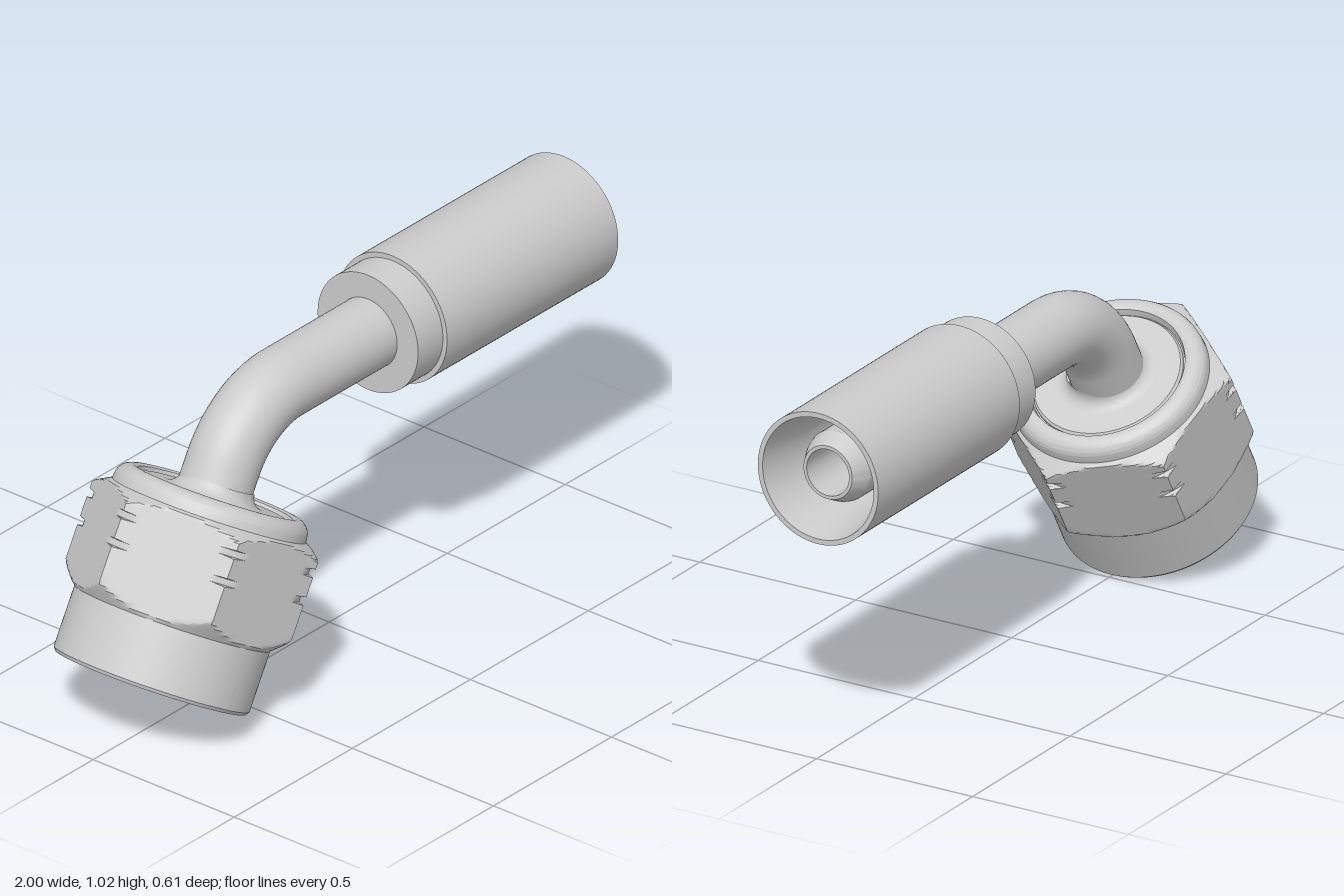
import * as THREE from 'three';
import { toCreasedNormals } from 'three/addons/utils/BufferGeometryUtils.js';

const TILT = -Math.PI / 6;   // nut axis leans 30 degrees from vertical
const AXIS_Y = 0.833;        // height of the straight tube
const TUBE_R = 0.104, BORE_R = 0.068;

function part(name, geometry, side = THREE.FrontSide) {
  const mesh = new THREE.Mesh(geometry, new THREE.MeshStandardMaterial({ color: 0xcccccc, side }));
  mesh.name = name;
  return mesh;
}

function lathe(name, profile, segments = 72) {
  const points = profile.map(([r, h]) => new THREE.Vector2(r, h));
  return part(name, toCreasedNormals(new THREE.LatheGeometry(points, segments), 0.5));
}

// Revolved profile [limit radius, height] whose radius is also clipped by a hexagon
function hexTurned(profile, cornerRadius, turn, around = 144, steps = 5) {
  const levels = [profile[0]];
  for (let i = 1; i < profile.length; i++) {
    for (let k = 1; k <= steps; k++) {
      const f = k / steps;
      levels.push(profile[i].map((v, n) => THREE.MathUtils.lerp(profile[i - 1][n], v, f)));
    }
  }
  const apothem = cornerRadius * Math.cos(Math.PI / 6);
  const positions = [], index = [];
  levels.forEach(([limit, h], row) => {
    for (let j = 0; j < around; j++) {
      const a = (j / around) * Math.PI * 2;
      const hex = apothem / Math.cos((a % (Math.PI / 3)) - Math.PI / 6);
      const r = Math.min(limit, hex);
      positions.push(r * Math.cos(a + turn), h, r * Math.sin(a + turn));
      if (row === 0) continue;
      const next = (j + 1) % around;
      const p = (row - 1) * around + j, q = (row - 1) * around + next;
      const u = row * around + j, v = row * around + next;
      index.push(p, u, q, q, u, v);
    }
  });
  const geometry = new THREE.BufferGeometry();
  geometry.setAttribute('position', new THREE.Float32BufferAttribute(positions, 3));
  geometry.setIndex(index);
  return toCreasedNormals(geometry, 0.5);
}

// Tube centre line: straight leg out of the nut, 60 degree bend, straight leg into the ferrule
function tubePath(nutOrigin, startHeight, endX) {
  const up = new THREE.Vector3(0.5, Math.cos(TILT), 0);
  const right = new THREE.Vector3(1, 0, 0);
  const bendR = 0.29, tangent = bendR * Math.tan(Math.PI / 6);
  const handle = bendR * (4 / 3) * Math.tan(Math.PI / 12);
  const corner = nutOrigin.clone().addScaledVector(up, (AXIS_Y - nutOrigin.y) / up.y);
  const a = corner.clone().addScaledVector(up, -tangent);
  const b = corner.clone().addScaledVector(right, tangent);
  const path = new THREE.CurvePath();
  path.add(new THREE.LineCurve3(nutOrigin.clone().addScaledVector(up, startHeight), a));
  path.add(new THREE.CubicBezierCurve3(a, a.clone().addScaledVector(up, handle),
    b.clone().addScaledVector(right, -handle), b));
  path.add(new THREE.LineCurve3(b, new THREE.Vector3(endX, AXIS_Y, 0)));
  return path;
}

export function createModel() {
  const model = new THREE.Group();
  model.name = 'angledHoseFitting';
  const nutOrigin = new THREE.Vector3(-0.757, 0.143, 0);

  // Swivel nut: open bore, round skirt, chamfered and notched hexagon, rolled shoulder
  const nutAssembly = new THREE.Group();
  nutAssembly.name = 'nutAssembly';
  nutAssembly.position.copy(nutOrigin);
  nutAssembly.rotation.z = TILT;
  const profile = [[0.2, 0.36], [0.24, 0.34], [0.24, 0.02], [0.255, 0], [0.274, 0], [0.281, 0.01],
    [0.281, 0.185], [0.34, 0.24]];
  for (const h of [0.35, 0.43]) {
    profile.push([0.34, h - 0.013], [0.314, h - 0.009], [0.314, h + 0.009], [0.34, h + 0.013]);
  }
  profile.push([0.34, 0.462], [0.278, 0.496]);
  for (let i = 0; i <= 6; i++) {
    const a = (i / 6) * Math.PI / 2;
    profile.push([0.235 + 0.042 * Math.cos(a), 0.508 + 0.042 * Math.sin(a)]);
  }
  profile.push([0.222, 0.545], [0.217, 0.525], [0.2, 0.525]);
  nutAssembly.add(part('nut', hexTurned(profile, 0.333, THREE.MathUtils.degToRad(7))));

  // Collar held inside the nut: sealing cone below, disc above, fillet up to the tube
  const collar = [[BORE_R, 0.27], [BORE_R, 0.2], [0.1, 0.19], [0.19, 0.33], [0.213, 0.36],
    [0.213, 0.53], [0.207, 0.537]];
  for (let i = 0; i <= 6; i++) {
    const a = (i / 6) * Math.PI / 2;
    collar.push([TUBE_R + 0.04 - 0.04 * Math.sin(a), 0.577 - 0.04 * Math.cos(a)]);
  }
  nutAssembly.add(lathe('collar', collar));
  model.add(nutAssembly);

  // Bent tube, its bore, and the crimped hose ferrule
  const hoseEnd = new THREE.Group();
  hoseEnd.name = 'hoseEnd';
  hoseEnd.position.z = -0.005;
  hoseEnd.add(part('bentTube',
    new THREE.TubeGeometry(tubePath(nutOrigin, 0.4, 0.9), 120, TUBE_R, 48)));
  hoseEnd.add(part('tubeBore',
    new THREE.TubeGeometry(tubePath(nutOrigin, 0.21, 0.94), 120, BORE_R, 32), THREE.DoubleSide));

  const ferrule = lathe('ferrule', [[0.09, 0.17], [0.178, 0.17], [0.178, 0.275], [0.193, 0.275],
    [0.193, 1], [0.178, 1], [0.15, 0.82], [0.15, 0.36], [0.09, 0.36]]);
  const nippleTip = lathe('nippleTip', [[TUBE_R, 0.89], [0.1, 0.905], [0.078, 0.95],
    [BORE_R, 0.95], [BORE_R, 0.9]]);
  for (const mesh of [ferrule, nippleTip]) {
    mesh.rotation.z = -Math.PI / 2;
    mesh.position.y = AXIS_Y;
    hoseEnd.add(mesh);
  }
  model.add(hoseEnd);
  return model;
}
